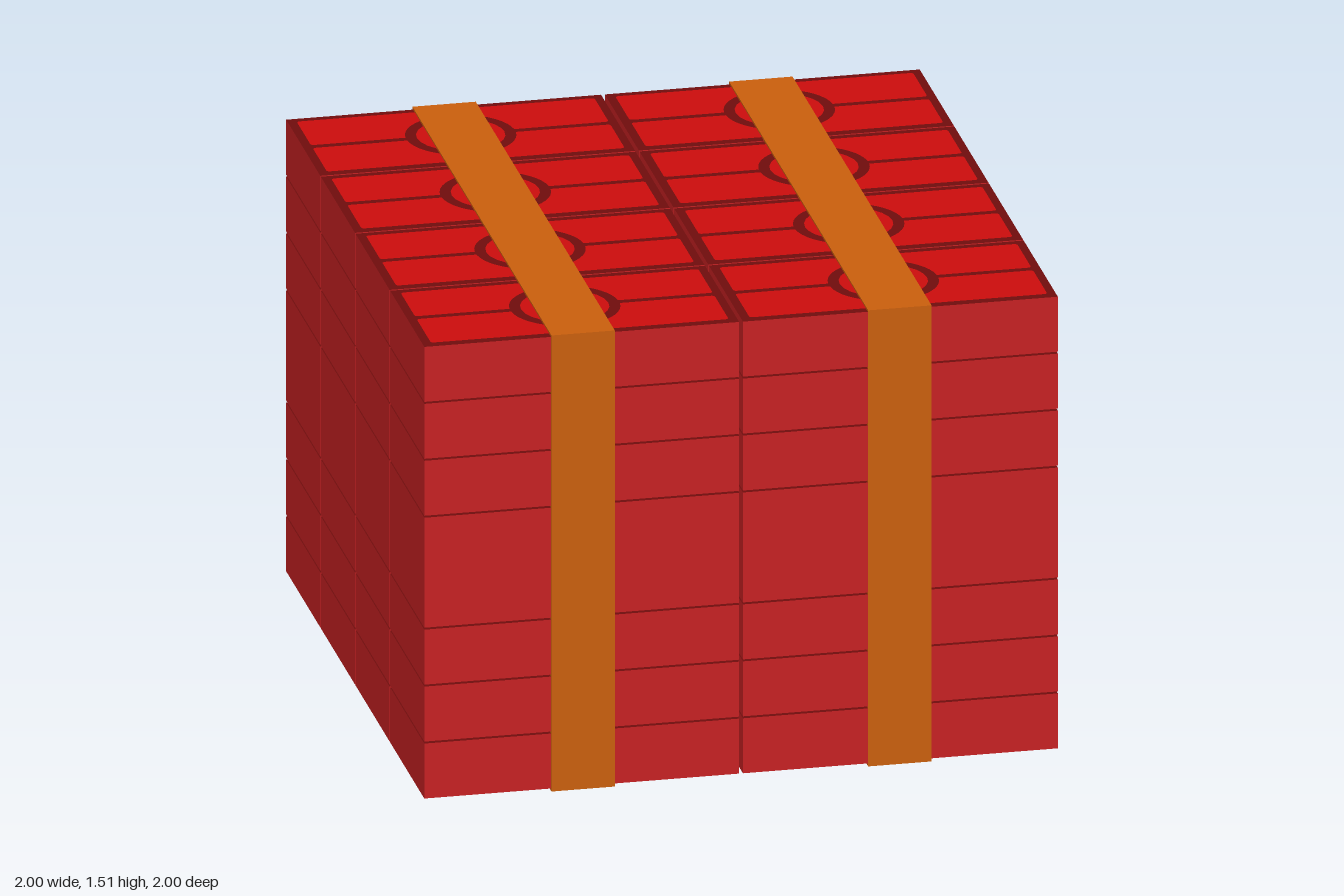
import * as THREE from 'three';

const material = (name, color) => {
  const m = new THREE.MeshStandardMaterial({ color });
  m.name = name;
  return m;
};

const W = 0.994, H = 0.1818, D = 0.491; // one bundle
const GAP = 0.0065;

// Flat half panel with rounded corners and a round bite out of its inner edge
function panelShape() {
  const x = W / 2 - 0.027, z0 = 0.012, z1 = D / 2 - 0.027, r = 0.012, ring = 0.172;
  const a = Math.asin(z0 / ring);
  const s = new THREE.Shape();
  s.moveTo(ring * Math.cos(a), z0);
  s.lineTo(x - r, z0);
  s.quadraticCurveTo(x, z0, x, z0 + r);
  s.lineTo(x, z1 - r);
  s.quadraticCurveTo(x, z1, x - r, z1);
  s.lineTo(-x + r, z1);
  s.quadraticCurveTo(-x, z1, -x, z1 - r);
  s.lineTo(-x, z0 + r);
  s.quadraticCurveTo(-x, z0, -x + r, z0);
  s.lineTo(-ring * Math.cos(a), z0);
  s.absarc(0, 0, ring, Math.PI - a, a, true);
  return s;
}

export function createModel() {
  const paperEdge = material('paper edge red', 0xc42022);
  const print = material('print red', 0xcb0c0c);
  const border = material('border dark red', 0x6f0c0c);
  const strapOrange = material('strap orange', 0xc85e0c);

  const model = new THREE.Group();
  model.name = 'strappedStack';

  const bundleGeo = new THREE.BoxGeometry(W, H, D);
  const bundleMats = [paperEdge, paperEdge, border, border, paperEdge, paperEdge];
  const panelGeo = new THREE.ShapeGeometry(panelShape(), 10);
  const discGeo = new THREE.CircleGeometry(0.138, 24);

  // Printed face: two panels around a central disc, facing up (1) or down (-1)
  function printedFace(dir) {
    const face = new THREE.Group();
    face.name = dir > 0 ? 'topPrint' : 'bottomPrint';
    for (const turn of [0, Math.PI]) {
      const panel = new THREE.Mesh(panelGeo, print);
      panel.name = 'printPanel';
      panel.rotation.z = turn;
      face.add(panel);
    }
    const disc = new THREE.Mesh(discGeo, print);
    disc.name = 'printDisc';
    face.add(disc);
    face.rotation.x = -dir * Math.PI / 2;
    face.position.y = dir * (H / 2 + 0.0015);
    return face;
  }

  // Bundles: 2 columns, 4 rows, 8 layers in two halves that touch
  for (let layer = 0; layer < 8; layer++) {
    const y = 0.0075 + H / 2 + layer * (H + GAP) - (layer > 3 ? GAP : 0);
    for (const side of [-1, 1]) {
      for (let row = 0; row < 4; row++) {
        const bundle = new THREE.Group();
        bundle.name = 'bundle';
        const block = new THREE.Mesh(bundleGeo, bundleMats);
        block.name = 'bundleBlock';
        bundle.add(block);
        if (layer === 7) bundle.add(printedFace(1));
        if (layer === 0) bundle.add(printedFace(-1));
        bundle.position.set(side * 0.503, y, (row - 1.5) * 0.4985);
        model.add(bundle);
      }
    }
  }

  // Straps running around the front, top, back and bottom
  for (const side of [-1, 1]) {
    const strap = new THREE.Mesh(new THREE.BoxGeometry(0.2, 1.508, 2), strapOrange);
    strap.name = side > 0 ? 'leftStrap' : 'rightStrap';
    strap.position.set(side * 0.5, 0.754, 0);
    model.add(strap);
  }
  return model;
}
